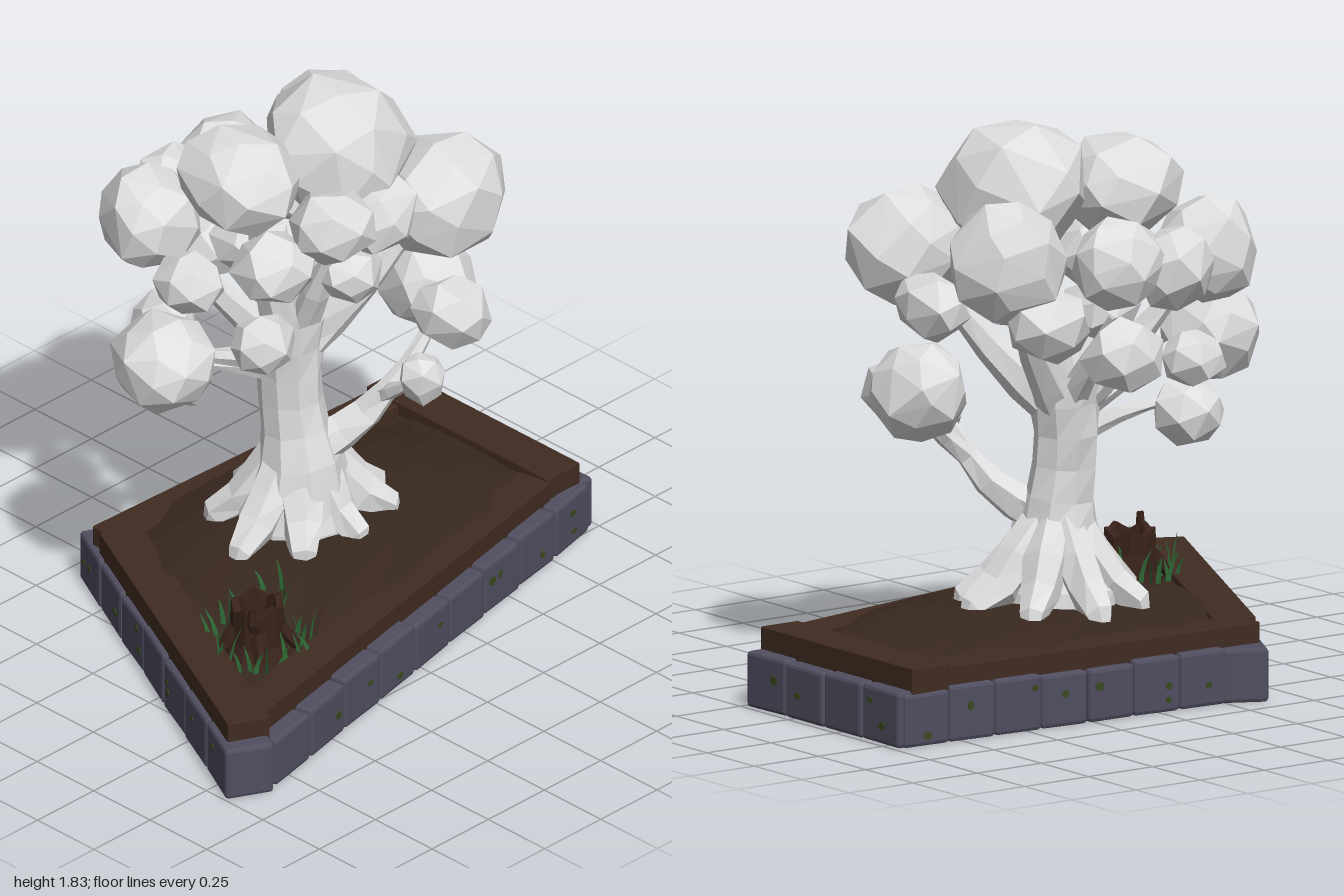
import * as THREE from 'three';
import { RoundedBoxGeometry } from 'three/addons/geometries/RoundedBoxGeometry.js';
import { ConvexGeometry } from 'three/addons/geometries/ConvexGeometry.js';

const material = (name, color, side = THREE.FrontSide) => {
  const m = new THREE.MeshStandardMaterial({ color, side });
  m.name = name;
  return m;
};

export function createModel() {
  const model = new THREE.Group();
  model.name = 'treeOnStonePlanter';

  const pale = material('pale tree', 0xdedede);
  const stone = material('slate stone', 0x504e60);
  const moss = material('moss', 0x3a4a20);
  const wood = material('planter wood', 0x402c21);
  const soilMat = material('soil', 0x38281f, THREE.DoubleSide);
  const bark = material('stump bark', 0x38221a, THREE.DoubleSide);
  const grassMat = material('grass', 0x2e6b35, THREE.DoubleSide);

  let seed = 7;
  const rand = (a = 0, b = 1) => {
    seed = (seed * 16807) % 2147483647;
    return a + (b - a) * seed / 2147483647;
  };
  const group = (name) => {
    const g = new THREE.Group();
    g.name = name;
    model.add(g);
    return g;
  };
  const add = (parent, name, geo, mat) => {
    const m = new THREE.Mesh(geo, mat);
    m.name = name;
    parent.add(m);
    return m;
  };
  const faceted = (geo) => {
    const g = geo.index ? geo.toNonIndexed() : geo;
    g.computeVertexNormals();
    return g;
  };

  // Tapered, faceted tube through the given points
  const limb = (parent, name, pts, radii, sides, segs, mat, rough = 0.12) => {
    const curve = new THREE.CatmullRomCurve3(pts.map((p) => new THREE.Vector3(...p)));
    const geo = new THREE.TubeGeometry(curve, segs, 1, sides);
    const pos = geo.attributes.position;
    const v = new THREE.Vector3();
    for (let i = 0; i <= segs; i++) {
      const c = curve.getPointAt(i / segs);
      const f = (i / segs) * (radii.length - 1);
      const k = Math.min(Math.floor(f), radii.length - 2);
      const r = THREE.MathUtils.lerp(radii[k], radii[k + 1], f - k);
      const wobble = Array.from({ length: sides }, () => 1 + rand(-rough, rough));
      for (let j = 0; j <= sides; j++) {
        const n = i * (sides + 1) + j;
        v.fromBufferAttribute(pos, n).sub(c).multiplyScalar(r * wobble[j % sides]).add(c);
        pos.setXYZ(n, v.x, v.y, v.z);
      }
    }
    return add(parent, name, faceted(geo), mat);
  };

  // Box lying along the line a-b, extending inwards by its width
  const strip = (parent, name, [ax, az], [bx, bz], width, y0, y1, bevel, mat) => {
    const len = Math.hypot(bx - ax, bz - az);
    const dx = (bx - ax) / len, dz = (bz - az) / len;
    const geo = faceted(new RoundedBoxGeometry(len, y1 - y0, width, 1, bevel));
    const m = add(parent, name, geo, mat);
    m.position.set((ax + bx) / 2 - dz * width / 2, (y0 + y1) / 2, (az + bz) / 2 + dx * width / 2);
    m.rotation.y = Math.atan2(-dz, dx);
    return m;
  };

  // Stone border
  const border = group('stoneBorder');
  const rows = [
    [[-1.0, 0.59], [-0.37, -0.69], 7],
    [[-0.25, -0.63], [0.97, -0.575], 7],
    [[0.985, -0.57], [0.985, 0.24], 4],
    [[0.96, 0.25], [-0.83, 0.64], 9],
  ];
  for (const [a, b, count] of rows) {
    const at = (t) => [a[0] + (b[0] - a[0]) * t, a[1] + (b[1] - a[1]) * t];
    for (let i = 0; i < count; i++) {
      const s = strip(border, 'borderStone', at((i + 0.01) / count), at((i + 0.99) / count),
        0.16 + rand(0, 0.015), 0, rand(0.168, 0.18), 0.012, stone);
      s.rotation.y += rand(-0.035, 0.035);
      // Moss patches on the outer face
      const { width, height, depth } = s.geometry.parameters ?? { width: 0.18, height: 0.17, depth: 0.16 };
      for (let k = 0; k < 2; k++) {
        if (rand() < 0.45) continue;
        const p = add(s, 'mossPatch', new THREE.CylinderGeometry(0.02, 0.02, 0.004, 6), moss);
        p.rotation.x = Math.PI / 2;
        p.scale.set(rand(0.5, 1), 1, rand(0.4, 0.8));
        p.position.set(rand(-0.35, 0.35) * width, rand(-0.33, 0.33) * height, -depth / 2 - 0.001);
      }
    }
  }

  // Wooden beams
  const frame = group('woodenFrame');
  strip(frame, 'leftBeam', [-0.955, 0.55], [-0.42, -0.55], 0.14, 0.15, 0.246, 0.004, wood);
  strip(frame, 'backBeam', [-0.4, -0.6], [0.8, -0.56], 0.13, 0.15, 0.24, 0.004, wood);
  strip(frame, 'rightBeam', [0.935, -0.57], [0.935, 0.23], 0.145, 0.15, 0.252, 0.004, wood);
  strip(frame, 'frontBeam', [0.8, 0.235], [-0.84, 0.58], 0.12, 0.15, 0.241, 0.004, wood);

  // Soil sheet rising to a mound below the tree
  const soilHeight = (x, z) => {
    const d = 1 - ((x - 0.12) / 0.72) ** 2 - ((z + 0.1) / 0.52) ** 2;
    return 0.205 + 0.1 * Math.pow(Math.max(0, d), 0.7);
  };
  const soil = new THREE.PlaneGeometry(1, 1, 9, 7);
  const sp = soil.attributes.position;
  const lerp = THREE.MathUtils.lerp;
  for (let i = 0; i < sp.count; i++) {
    const u = sp.getX(i) + 0.5, v = 0.5 - sp.getY(i);
    const x = lerp(lerp(-0.4, 0.88, u), lerp(-0.85, 0.88, u), v);
    const z = lerp(lerp(-0.53, -0.5, u), lerp(0.51, 0.15, u), v);
    sp.setXYZ(i, x, soilHeight(x, z), z);
  }
  add(model, 'soilMound', faceted(soil), soilMat);

  // Trunk and roots
  const tree = group('tree');
  limb(tree, 'trunk',
    [[0.05, 0.12, -0.14], [0.05, 0.3, -0.14], [0.04, 0.5, -0.12], [0.03, 0.75, -0.15], [0.04, 1.03, -0.16]],
    [0.06, 0.22, 0.165, 0.135, 0.108, 0.1, 0.11, 0.12], 9, 9, pale, 0.07);
  const roots = [[0.38, -0.1], [0.31, 0.04], [0.1, 0.09], [-0.12, 0.06], [-0.27, -0.1], [-0.14, -0.34], [0.08, -0.42], [0.29, -0.32]];
  for (const [x, z] of roots) {
    const mid = [lerp(0.05, x, 0.62), 0.35, lerp(-0.14, z, 0.62)];
    limb(tree, 'root', [[0.04, 0.62, -0.13], [lerp(0.05, x, 0.32), 0.47, lerp(-0.14, z, 0.32)], mid, [x, 0.27, z], [x * 1.05, 0.19, z * 1.05]],
      [0.05, 0.07, 0.075, 0.055, 0.01], 6, 5, pale);
  }

  // Branches: end point, start height and thickness
  const branches = [
    [[0.4, 1.35, 0.08], 0.93, 0.065], [[0.15, 1.5, -0.1], 0.95, 0.075], [[-0.15, 1.5, -0.15], 0.95, 0.065],
    [[-0.3, 1.35, -0.38], 0.93, 0.055], [[0.37, 1.35, -0.32], 0.93, 0.06], [[0.06, 1.25, -0.45], 0.93, 0.05],
    [[-0.45, 1.08, -0.15], 0.9, 0.04], [[-0.3, 0.92, -0.3], 0.85, 0.035], [[0.02, 1.4, 0.06], 0.97, 0.05],
  ];
  for (const [end, y, r] of branches) {
    const mid = [lerp(0.04, end[0], 0.5), lerp(y, end[1], 0.4), lerp(-0.15, end[2], 0.5)];
    limb(tree, 'branch', [[0.04, y - 0.05, -0.15], mid, end], [r * 1.1, r, r * 0.65, r * 0.3], 6, 4, pale);
  }
  limb(tree, 'lowBranch', [[0.06, 0.55, -0.08], [0.19, 0.64, 0.0], [0.27, 0.76, 0.06], [0.37, 0.84, 0.07], [0.48, 0.96, 0.06]],
    [0.08, 0.055, 0.04, 0.028, 0.015], 6, 6, pale);
  limb(tree, 'twig', [[0.24, 0.72, 0.04], [0.23, 0.78, 0.12], [0.23, 0.84, 0.2]], [0.03, 0.025, 0.015], 5, 3, pale);

  // Foliage clumps: centre and half sizes
  const clumps = [
    [0.42, 1.42, 0.14, 0.22, 0.2, 0.2], [0.17, 1.62, -0.09, 0.24, 0.22, 0.25],
    [-0.17, 1.6, -0.17, 0.19, 0.17, 0.21], [-0.33, 1.42, -0.42, 0.16, 0.17, 0.17],
    [0.4, 1.45, -0.35, 0.19, 0.2, 0.19], [0.08, 1.43, -0.5, 0.16, 0.15, 0.13],
    [-0.12, 1.4, -0.53, 0.14, 0.14, 0.11], [-0.53, 1.09, -0.16, 0.16, 0.155, 0.18],
    [0.52, 1.0, -0.04, 0.155, 0.16, 0.18], [0.46, 0.97, 0.13, 0.12, 0.12, 0.13],
    [-0.32, 0.88, -0.32, 0.12, 0.11, 0.12], [0.06, 1.13, -0.5, 0.14, 0.12, 0.12],
    [0.32, 1.25, -0.45, 0.14, 0.12, 0.13], [0.52, 1.28, -0.1, 0.1, 0.11, 0.16],
    [-0.22, 1.08, -0.02, 0.11, 0.1, 0.1], [-0.2, 1.36, 0.0, 0.14, 0.12, 0.13],
    [-0.02, 1.48, 0.09, 0.15, 0.13, 0.13], [0.16, 1.45, 0.11, 0.14, 0.13, 0.13],
    [0.1, 1.23, 0.05, 0.11, 0.09, 0.09], [0.24, 0.86, 0.22, 0.075, 0.09, 0.07],
    [-0.38, 1.3, -0.2, 0.1, 0.1, 0.13], [-0.3, 1.06, -0.38, 0.1, 0.09, 0.11],
    [0.0, 1.25, -0.3, 0.13, 0.1, 0.13],
  ];
  const foliage = group('foliage');
  for (const [x, y, z, rx, ry, rz] of clumps) {
    const n = rx > 0.15 ? 30 : 20, spin = rand(0, 6), pts = [];
    for (let i = 0; i < n; i++) {
      const h = 1 - 2 * (i + 0.5) / n + rand(-0.03, 0.03);
      const w = Math.sqrt(Math.max(0, 1 - h * h)), a = i * 2.4 + spin + rand(-0.25, 0.25), s = rand(0.95, 1.08);
      pts.push(new THREE.Vector3(x + rx * s * w * Math.cos(a), y + ry * s * h, z + rz * s * w * Math.sin(a)));
    }
    add(foliage, 'leafClump', new ConvexGeometry(pts), pale);
  }

  // Hollow broken stump with small roots
  const stump = group('stump');
  stump.position.set(-0.52, 0.2, 0.25);
  const profile = [[0.115, 0], [0.09, 0.05], [0.085, 0.18], [0.06, 0.18], [0.05, 0.09], [0, 0.08]];
  const shell = new THREE.LatheGeometry(profile.map((p) => new THREE.Vector2(...p)), 10);
  const lp = shell.attributes.position;
  for (let i = 0; i < lp.count; i++) {
    if (lp.getY(i) > 0.15) lp.setY(i, 0.175 + 0.025 * Math.sin(5 * Math.atan2(lp.getZ(i), lp.getX(i)) + 1));
  }
  add(stump, 'stumpShell', faceted(shell), bark);
  for (const a of [-0.95, 0.9, 2.3, 3.6, 5.0]) {
    const c = Math.cos(a), s = Math.sin(a);
    limb(stump, 'stumpRoot', [[c * 0.07, 0.1, s * 0.07], [c * 0.11, 0.045, s * 0.11], [c * 0.15, 0.005, s * 0.15]],
      [0.025, 0.022, 0.006], 5, 3, bark);
  }
  limb(stump, 'brokenTwig', [[-0.06, 0.12, 0.05], [-0.09, 0.17, 0.06], [-0.085, 0.21, 0.06]], [0.018, 0.016, 0.012], 5, 2, bark);

  // Grass blades around the stump
  const grass = group('grass');
  const blade = (x, z, h) => {
    const geo = new THREE.PlaneGeometry(0.018, h, 1, 3);
    const p = geo.attributes.position, lean = rand(0.01, 0.04);
    for (let i = 0; i < p.count; i++) {
      const t = p.getY(i) / h + 0.5;
      p.setXYZ(i, p.getX(i) * (1 - 0.9 * t * t) + lean * t * t, t * h, lean * 0.5 * t * t);
    }
    const m = add(grass, 'grassBlade', faceted(geo), grassMat);
    m.position.set(x, soilHeight(x, z) - 0.005, z);
    m.rotation.y = rand(0, 6.28);
  };
  for (let i = 0; i < 30; i++) {
    const a = i * 2.4, r = rand(0.12, 0.175);
    blade(-0.53 + r * Math.cos(a), 0.26 + r * Math.sin(a), rand(0.07, 0.15));
  }
  for (const [x, z] of [[-0.28, 0.12], [-0.3, 0.15], [-0.36, 0.2], [-0.34, 0.1]]) blade(x, z, 0.1);

  return model;
}
